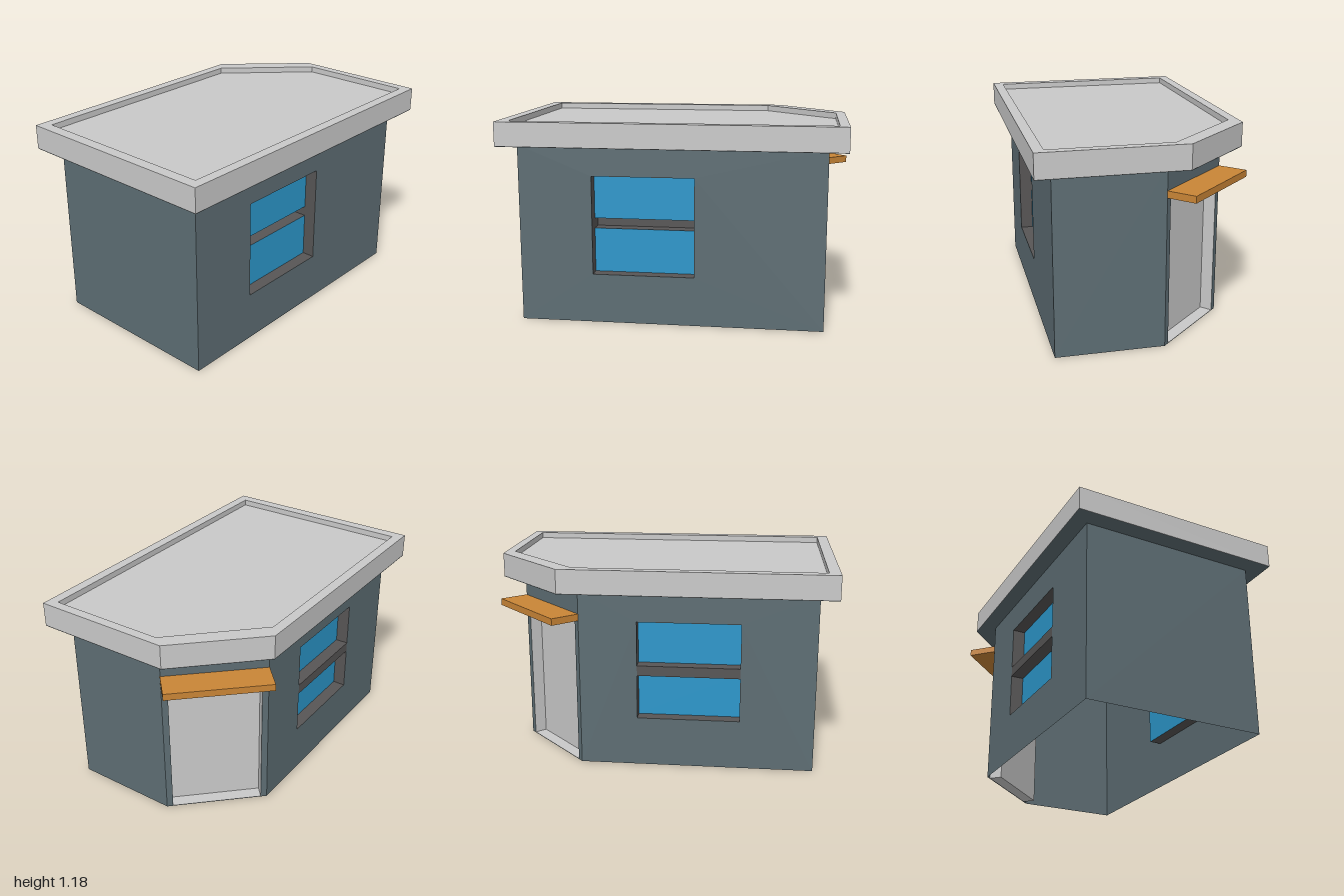
import * as THREE from 'three';

const mat = (name, color) => {
  const m = new THREE.MeshStandardMaterial({ color, side: THREE.DoubleSide });
  m.name = name;
  return m;
};

export function createModel() {
  const slate = mat('slate wall', 0x5d6d73);
  const pale = mat('pale grey', 0xc9c9c9);
  const blue = mat('blue glass', 0x2c97cb);
  const trim = mat('dark grey trim', 0x575555);
  const wood = mat('orange wood', 0xc98536);

  const house = new THREE.Group();
  house.name = 'house';
  const DEPTH = 0.075, EAVES = 1.045, TOP = 1.185;

  const add = (parent, name, geo, material) => {
    const m = new THREE.Mesh(geo, material);
    m.name = name;
    parent.add(m);
    return m;
  };
  // Outline in plan, drawn so that extrusion along z becomes height
  const plan = (pts) => pts.map(([x, z]) => new THREE.Vector2(x, -z));
  const rect = ([x0, x1, y0, y1]) => [[x0, y0], [x1, y0], [x1, y1], [x0, y1]].map((p) => new THREE.Vector2(...p));
  // Flat upright panel
  const panel = (parent, name, r, z, material) =>
    add(parent, name, new THREE.ShapeGeometry(new THREE.Shape(rect(r))), material).position.z = z;
  // Four-sided sleeve, open at both ends
  const sleeve = (parent, name, [x0, x1, y0, y1], z0, z1, material) => {
    const g = new THREE.BoxGeometry(x1 - x0, y1 - y0, z1 - z0);
    g.setIndex(Array.from(g.index.array.slice(0, 24)));
    g.clearGroups();
    add(parent, name, g, material).position.set((x0 + x1) / 2, (y0 + y1) / 2, (z0 + z1) / 2);
  };
  // Wall from p to q; local x runs along it and local z points outward
  const wall = (name, [px, pz], [qx, qz], opening) => {
    const g = new THREE.Group();
    g.name = name;
    g.position.set(px, 0, pz);
    g.rotation.y = Math.atan2(pz - qz, qx - px);
    const length = Math.hypot(qx - px, qz - pz);
    const s = new THREE.Shape(rect([0, length, 0, EAVES]));
    if (opening) s.holes.push(new THREE.Path(rect(opening).reverse()));
    add(g, name + 'Panel', new THREE.ShapeGeometry(s), slate);
    house.add(g);
    return g;
  };

  // Recessed window; the hollow bar runs from the glass to barZ
  const fillWindow = (g, [x0, x1, y0, y1], barZ) => {
    const low = 0.55, high = 0.61, bar = [x0, x1, low, high];
    sleeve(g, 'windowReveal', [x0, x1, y0, y1], -DEPTH, 0, trim);
    panel(g, 'lowerGlass', [x0, x1, y0, low], -DEPTH, blue);
    panel(g, 'upperGlass', [x0, x1, high, y1], -DEPTH, blue);
    sleeve(g, 'windowBarSides', bar, Math.min(barZ, -DEPTH), Math.max(barZ, -DEPTH), trim);
    panel(g, 'windowBarFace', bar, barZ, trim);
  };

  // Walls
  const c = [[-0.52, 0.9], [0.535, 0.9], [0.535, -0.87], [-0.087, -0.87], [-0.52, -0.46]];
  wall('frontWall', c[0], c[1]);
  wall('backWall', c[2], c[3]);

  const leftWindow = [0.43, 1.025, 0.29, 0.87];
  fillWindow(wall('leftWall', c[1], c[2], leftWindow), leftWindow, -2 * DEPTH);
  const rightWindow = [0.335, 0.93, 0.29, 0.87];
  fillWindow(wall('rightWall', c[4], c[0], rightWindow), rightWindow, 0);

  // Corner entrance with recessed door and canopy
  const cornerLength = Math.hypot(c[4][0] - c[3][0], c[4][1] - c[3][1]);
  const doorway = [0.036, cornerLength - 0.036, 0.003, 0.86];
  const corner = wall('cornerWall', c[3], c[4], doorway);
  sleeve(corner, 'doorReveal', doorway, -DEPTH, 0, pale);
  panel(corner, 'door', doorway, -DEPTH, pale);
  add(corner, 'canopy', new THREE.BoxGeometry(0.6, 0.04, 0.174), wood)
    .position.set(cornerLength / 2, 0.889, 0.087);

  // Roof: slab, raised rim and soffit
  const outer = plan([[-0.615, 1], [0.635, 1], [0.635, -0.975], [-0.185, -0.975], [-0.615, -0.56]]);
  const inner = plan([[-0.555, 0.935], [0.575, 0.935], [0.575, -0.92], [-0.115, -0.92], [-0.555, -0.485]]);
  const rim = new THREE.Shape(outer);
  rim.holes.push(new THREE.Path(inner.slice().reverse()));
  const level = (name, geo, y, material) => {
    const m = add(house, name, geo, material);
    m.rotation.x = -Math.PI / 2;
    m.position.y = y;
  };
  level('roofRim', new THREE.ExtrudeGeometry(rim, { depth: TOP - EAVES, bevelEnabled: false }), EAVES, pale);
  level('roofDeck', new THREE.ShapeGeometry(new THREE.Shape(inner)), TOP - 0.035, pale);
  level('soffit', new THREE.ShapeGeometry(new THREE.Shape(outer)), EAVES - 0.002, slate);

  return house;
}
